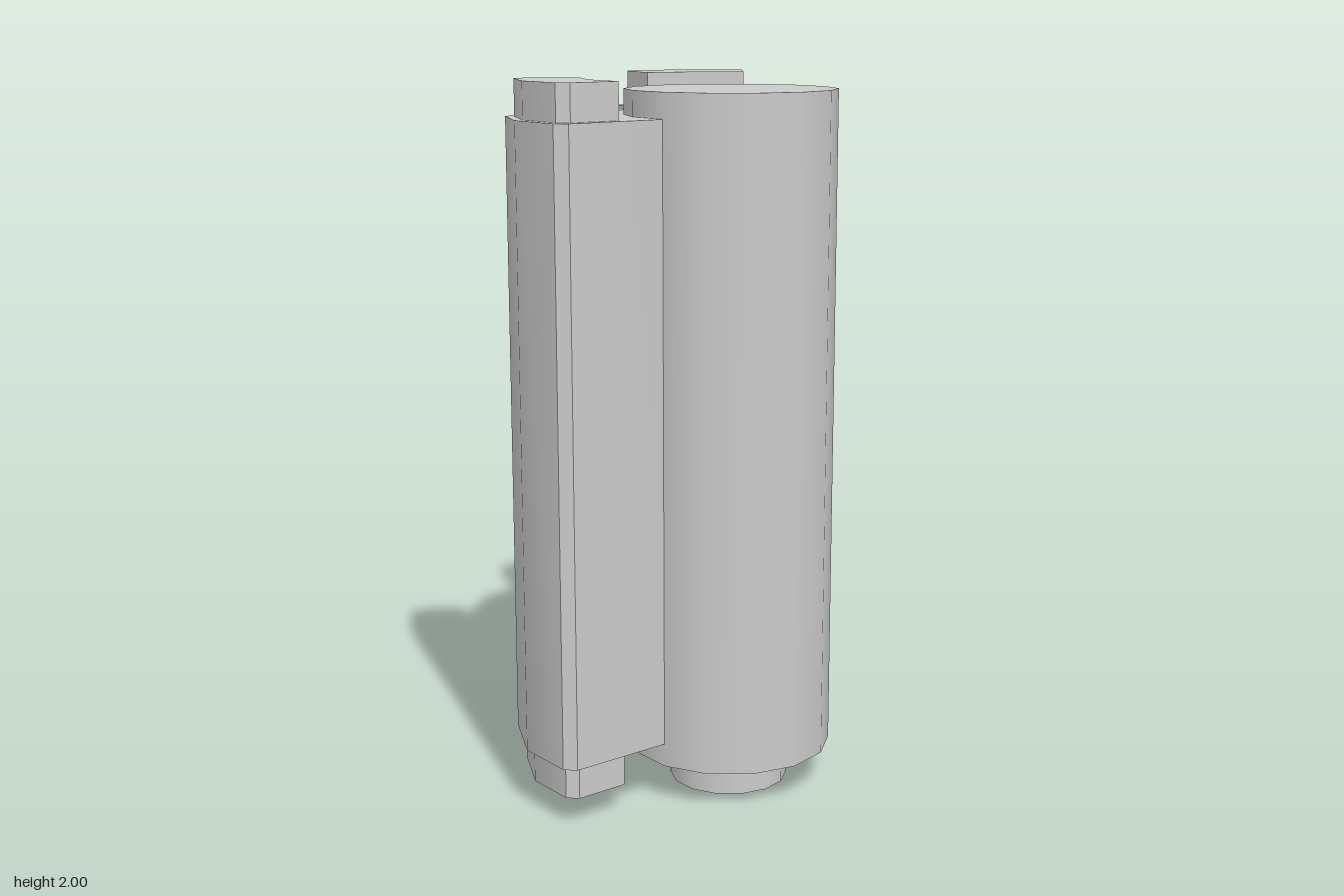
import * as THREE from 'three';
import { toCreasedNormals } from 'three/addons/utils/BufferGeometryUtils.js';

const material = new THREE.MeshStandardMaterial({ color: 0xcccccc });

function addMesh(group, name, geometry) {
  const mesh = new THREE.Mesh(geometry, material);
  mesh.name = name;
  group.add(mesh);
}

// Vertical prism over an (x, z) outline, between two heights
function prism(outline, y0, y1) {
  const shape = new THREE.Shape(outline.map(([x, z]) => new THREE.Vector2(x, -z)));
  const geometry = new THREE.ExtrudeGeometry(shape, { depth: y1 - y0, bevelEnabled: false });
  geometry.rotateX(-Math.PI / 2).translate(0, y0, 0);
  return toCreasedNormals(geometry, 0.5);
}

// 14-sided cylinder on the drum axis
function drum(radius, y0, y1) {
  const start = THREE.MathUtils.degToRad(92);
  const geometry = new THREE.CylinderGeometry(radius, radius, y1 - y0, 14, 1, false, start);
  return geometry.translate(0.115, (y0 + y1) / 2, -0.01);
}

export function createModel() {
  const group = new THREE.Group();

  // Main drum and the short shaft under it
  addMesh(group, 'drum', drum(0.291, 0.11, 1.97));
  addMesh(group, 'bottomShaft', drum(0.168, 0, 0.12));

  // Cradle hugging the back of the drum, with two splayed arms
  addMesh(group, 'cradle', prism([
    [0.04, -0.29], [-0.1, -0.556], [-0.136, -0.568], [-0.29, -0.485],
    [-0.41, -0.325], [-0.404, -0.288], [-0.243, -0.17], [-0.275, 0],
    [-0.23, 0.175], [-0.385, 0.305], [-0.383, 0.342], [-0.255, 0.493],
    [-0.094, 0.564], [-0.057, 0.55], [0.06, 0.275], [0.1, 0],
  ], 0.175, 1.9));

  // Lug running through each arm and out at both ends
  addMesh(group, 'rightArmLug', prism([
    [-0.037, -0.39], [-0.108, -0.527], [-0.142, -0.539], [-0.28, -0.468],
    [-0.378, -0.33], [-0.371, -0.295], [-0.25, -0.2], [-0.155, -0.328],
  ], 0.08, 2));
  addMesh(group, 'leftArmLug', prism([
    [-0.235, 0.205], [-0.35, 0.305], [-0.354, 0.342], [-0.243, 0.474],
    [-0.105, 0.534], [-0.07, 0.52], [-0.01, 0.38], [-0.135, 0.323],
  ], 0.08, 2));

  return group;
}
